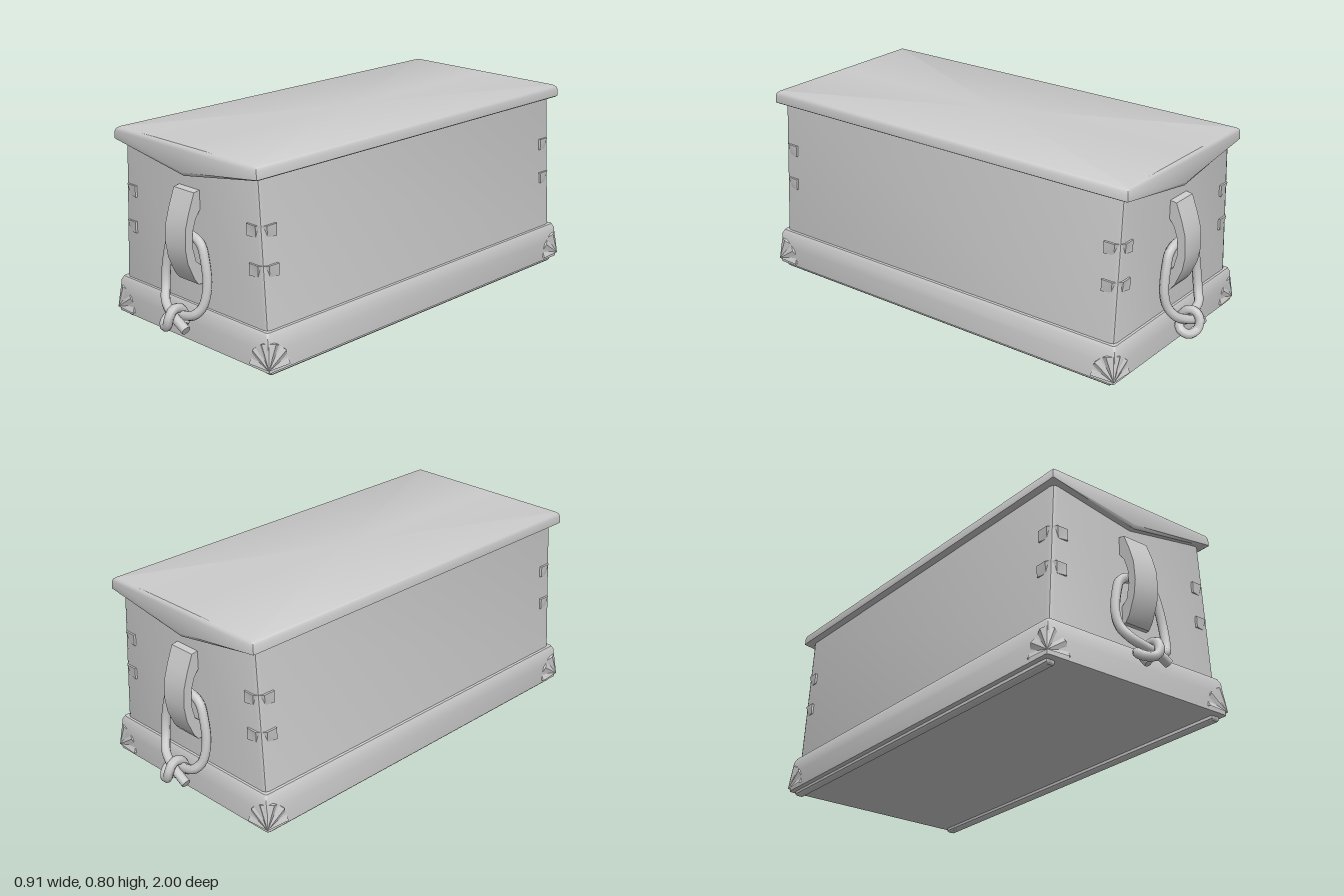
import * as THREE from 'three';
import { toCreasedNormals } from 'three/addons/utils/BufferGeometryUtils.js';

const mat = new THREE.MeshStandardMaterial({ color: 0xcccccc, side: THREE.DoubleSide });

function mesh(name, geometry, crease = 0.7) {
  const m = new THREE.Mesh(crease ? toCreasedNormals(geometry, crease) : geometry, mat);
  m.name = name;
  return m;
}

// Rounded rectangle at height y; the middle of the two short ends can hang lower by drop.
function ring(hx, y, hz, r, drop = 0) {
  const pts = [];
  for (let q = 0; q < 4; q++) {
    const sx = q === 0 || q === 3 ? 1 : -1, sz = q < 2 ? 1 : -1;
    for (let k = 0; k <= 2; k++) {
      const a = (q + k / 2) * Math.PI / 2;
      pts.push([sx * (hx - r) + r * Math.cos(a), y, sz * (hz - r) + r * Math.sin(a)]);
    }
    if (q % 2 === 0) pts.push([0, y - drop, sz * hz]);
  }
  return pts;
}

// Skin over a stack of rings, closed at both ends.
function loft(rings) {
  const n = rings[0].length, last = rings.length - 1;
  const pos = rings.flat(2), idx = [];
  for (let i = 0; i < last; i++) {
    for (let j = 0; j < n; j++) {
      const a = i * n + j, b = i * n + (j + 1) % n;
      idx.push(a, a + n, b + n, a, b + n, b);
    }
  }
  const low = n * rings.length, high = low + 1;
  pos.push(0, rings[0][0][1], 0, 0, rings[last][0][1], 0);
  for (let j = 0; j < n; j++) {
    const k = (j + 1) % n;
    idx.push(low, j, k, high, last * n + k, last * n + j);
  }
  const g = new THREE.BufferGeometry();
  g.setAttribute('position', new THREE.Float32BufferAttribute(pos, 3));
  g.setIndex(idx);
  return g;
}

// Fluted fan wrapped round a bottom corner of the base.
function cornerCap() {
  const n = 10, pos = [0, 0, 0], idx = [];
  const levels = [[0.55, 0.003], [0.95, 0.006], [1, -0.014]];
  for (let k = 0; k <= n; k++) {
    const a = k / n * Math.PI, u = Math.cos(a) * 0.108, v = Math.sin(a) * 0.105;
    for (const [s, out] of levels) {
      const o = out > 0 && k % 2 ? -out : out;
      pos.push(-Math.max(u * s, 0) + (u < 0.03 ? o : 0) - v * s * 0.06, v * s,
        Math.min(u * s, 0) + (u > -0.03 ? o : 0) - v * s * 0.06);
    }
  }
  for (let k = 0; k < n; k++) {
    const a = 1 + k * 3, b = a + 3;
    idx.push(0, b, a);
    for (let l = 0; l < 2; l++) idx.push(a + l, b + l, b + l + 1, a + l, b + l + 1, a + l + 1);
  }
  const g = new THREE.BufferGeometry();
  g.setAttribute('position', new THREE.Float32BufferAttribute(pos, 3));
  g.setIndex(idx);
  return g;
}

// Bent clasp round a vertical edge, pinched in at its lower outer corner.
function edgeClasp() {
  const outline = [[-0.075, -0.012], [-0.07, 0.008], [-0.022, 0.008], [0.008, -0.022],
    [0.008, -0.07], [-0.012, -0.075], [-0.03, -0.03]];
  const shape = new THREE.Shape(outline.map(p => new THREE.Vector2(...p)));
  const g = new THREE.ExtrudeGeometry(shape, { depth: 0.047, bevelEnabled: false });
  g.rotateX(Math.PI / 2);
  const p = g.attributes.position;
  for (let i = 0; i < p.count; i++) {
    const x = p.getX(i), z = p.getZ(i);
    if (p.getY(i) < -0.02 && x + z > -0.02) p.setXYZ(i, x - 0.008, p.getY(i), z - 0.008);
  }
  g.computeVertexNormals();
  return g;
}

// Arched strap with a knotted rope loop hanging through it.
function handle(name) {
  const group = new THREE.Group();
  group.name = name;
  const outer = [[0.85, 0.636], [0.885, 0.63], [0.912, 0.56], [0.93, 0.5], [0.935, 0.42],
    [0.925, 0.36], [0.895, 0.29], [0.875, 0.265], [0.85, 0.265]];
  const inner = [[0.85, 0.33], [0.885, 0.36], [0.9, 0.42], [0.897, 0.48], [0.88, 0.53], [0.85, 0.57]];
  const shape = new THREE.Shape([...outer, ...inner].map(p => new THREE.Vector2(...p)));
  const strap = new THREE.ExtrudeGeometry(shape, { depth: 0.117, bevelEnabled: false });
  strap.translate(0, 0, -0.0585).rotateY(-Math.PI / 2);
  group.add(mesh('handleStrap', strap));

  const path = [
    [0.07, 0.104, 0.955], [0.03, 0.125, 0.955], [-0.03, 0.145, 0.945], [-0.085, 0.175, 0.925],
    [-0.113, 0.22, 0.9], [-0.122, 0.28, 0.888], [-0.105, 0.38, 0.882], [-0.085, 0.43, 0.88],
    [-0.05, 0.452, 0.88], [0.05, 0.452, 0.88], [0.085, 0.43, 0.88], [0.105, 0.38, 0.882],
    [0.122, 0.28, 0.888], [0.113, 0.2, 0.905], [0.085, 0.163, 0.925], [0.03, 0.145, 0.925],
    [-0.03, 0.135, 0.915], [-0.066, 0.115, 0.935], [-0.05, 0.096, 0.965], [-0.012, 0.105, 0.98],
    [0.002, 0.14, 0.982], [0.003, 0.172, 0.96], [0, 0.168, 0.925], [0, 0.13, 0.9], [0.01, 0.105, 0.915],
  ].map(p => new THREE.Vector3(...p));
  const curve = new THREE.CatmullRomCurve3(path);
  group.add(mesh('handleRope', new THREE.TubeGeometry(curve, 90, 0.019, 8), 0));
  for (const t of [0, 1]) {
    const end = mesh('ropeEnd', new THREE.CircleGeometry(0.019, 8), 0);
    end.position.copy(curve.getPoint(t));
    end.lookAt(end.position.clone().addScaledVector(curve.getTangent(t), t ? 1 : -1));
    group.add(end);
  }
  return group;
}

export function createModel() {
  const model = new THREE.Group();
  model.name = 'chest';

  // Box, base and lid
  model.add(mesh('body', loft([ring(0.417, 0.16, 0.858, 0.02), ring(0.381, 0.76, 0.858, 0.02)])));
  model.add(mesh('base', loft([
    ring(0.44, 0.018, 0.872, 0.01), ring(0.447, 0.022, 0.88, 0.01), ring(0.447, 0.035, 0.88, 0.01),
    ring(0.443, 0.1, 0.88, 0.01), ring(0.437, 0.155, 0.876, 0.01), ring(0.428, 0.172, 0.868, 0.01),
    ring(0.41, 0.173, 0.85, 0.01),
  ])));
  model.add(mesh('lid', loft([
    ring(0.37, 0.748, 0.85, 0.005, 0.062), ring(0.402, 0.747, 0.882, 0.005, 0.064),
    ring(0.41, 0.752, 0.89, 0.005, 0.055), ring(0.409, 0.782, 0.889, 0.005),
    ring(0.404, 0.793, 0.886, 0.005), ring(0.393, 0.8, 0.878, 0.005),
  ])));

  // Runners under the base
  for (const s of [-1, 1]) {
    const runner = mesh('runner', loft([
      ring(0.014, 0, 0.85, 0.004), ring(0.02, 0.006, 0.855, 0.004), ring(0.02, 0.024, 0.855, 0.004),
    ]));
    runner.position.x = s * 0.41;
    model.add(runner);
  }

  // Metal fittings on the four corners
  for (const sx of [-1, 1]) {
    for (const sz of [-1, 1]) {
      const corner = new THREE.Group();
      corner.name = 'cornerFittings';
      corner.scale.set(sx, 1, sz);
      const cap = mesh('cornerCap', cornerCap(), 0.4);
      cap.position.set(0.45, 0.035, 0.884);
      corner.add(cap);
      for (const y of [0.57, 0.42]) {
        const clasp = mesh('edgeClasp', edgeClasp(), 0.4);
        clasp.position.set(0.417 - (y - 0.185) * 0.06, y, 0.858);
        corner.add(clasp);
      }
      model.add(corner);
    }
  }

  // Handles at both ends
  const back = handle('backHandle');
  back.rotation.y = Math.PI;
  model.add(handle('frontHandle'), back);
  return model;
}
